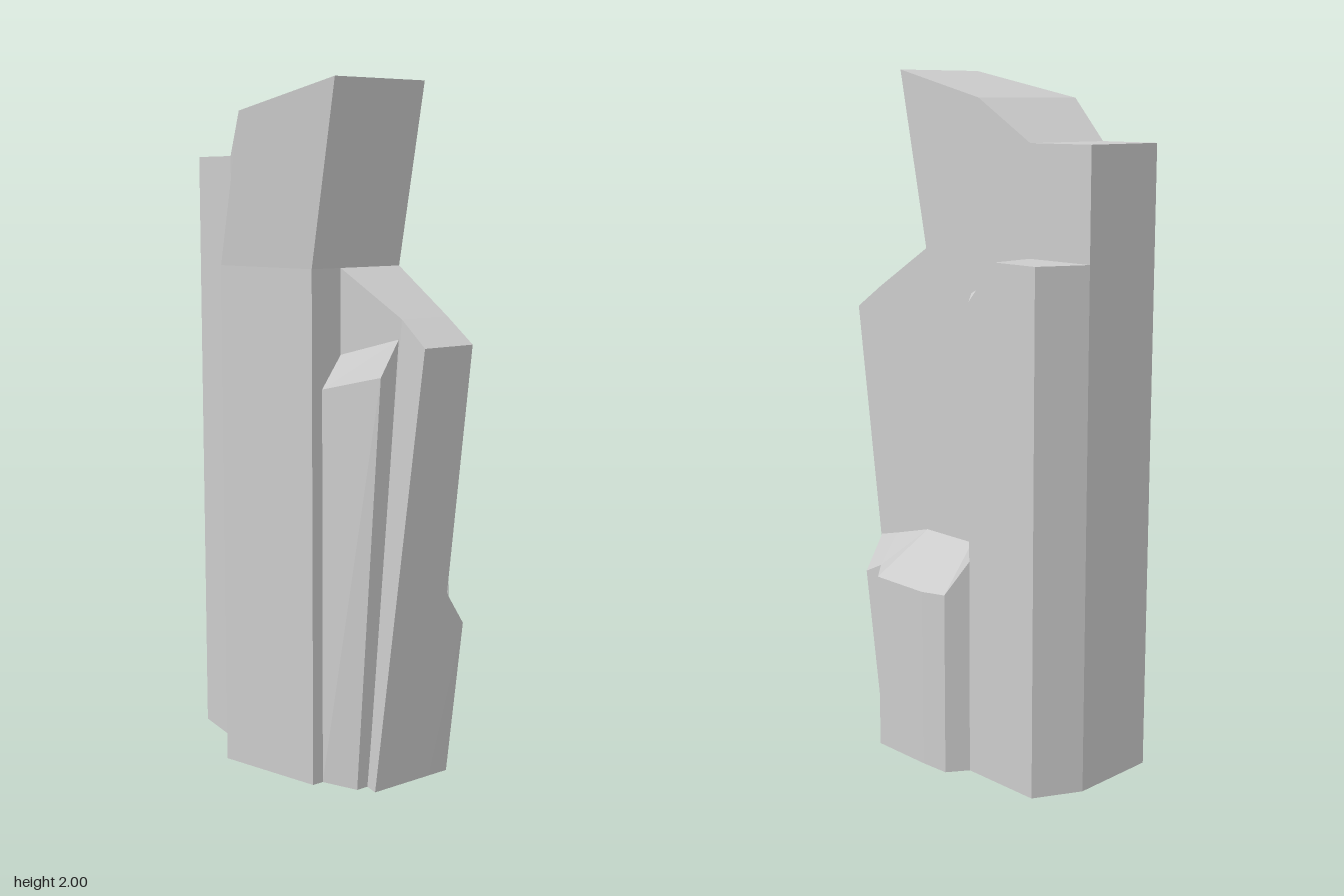
import * as THREE from 'three';

const material = new THREE.MeshStandardMaterial({ color: 0xcccccc, flatShading: true });

// Lofts a faceted shard. Each level, from the ground up, is a list of
// stations running left to right; a station is [frontPoint, backPoint].
function shard(name, levels) {
  const positions = [];
  const tri = (...points) => {
    const [a, b, c] = points.map((p) => new THREE.Vector3(...p));
    if (new THREE.Triangle(a, b, c).getArea() < 1e-7) return;
    for (const p of points) positions.push(...p);
  };
  const quad = (a, b, c, d) => {
    tri(a, b, c);
    tri(a, c, d);
  };

  // Walls between neighbouring levels
  const rings = levels.map((s) => [...s.map((p) => p[0]), ...s.map((p) => p[1]).reverse()]);
  for (let l = 0; l < rings.length - 1; l++) {
    const low = rings[l], high = rings[l + 1];
    low.forEach((p, i) => {
      const j = (i + 1) % low.length;
      quad(p, low[j], high[j], high[i]);
    });
  }
  // Caps, one facet per pair of stations
  const top = levels[levels.length - 1], base = levels[0];
  for (let i = 0; i < top.length - 1; i++) {
    quad(top[i][0], top[i + 1][0], top[i + 1][1], top[i][1]);
    quad(base[i][1], base[i + 1][1], base[i + 1][0], base[i][0]);
  }

  const geometry = new THREE.BufferGeometry();
  geometry.setAttribute('position', new THREE.Float32BufferAttribute(positions, 3));
  geometry.computeVertexNormals();
  const mesh = new THREE.Mesh(geometry, material);
  mesh.name = name;
  return mesh;
}

// Station with front and back at the same x and y
const st = (x, y, front, back = -0.1) => [[x, y, front], [x, y, back]];

// Straight drop of a level to a given height
const drop = (level, y = 0) => level.map((s) => s.map((p) => [p[0], y, p[2]]));

export function createModel() {
  const group = new THREE.Group();
  group.name = 'rockFormation';

  // Flat-topped pillar on the right-hand side
  const pillarTop = [st(-0.48, 1.8, 0.165), st(-0.26, 1.8, 0.195)];
  group.add(shard('sidePillar', [drop(pillarTop), pillarTop]));

  // Main column, upright below and leaning above
  const waist = [st(-0.26, 1.49, 0.195), st(-0.16, 1.49, 0.297), st(0.16, 1.49, 0.21)];
  const peak = [st(-0.26, 1.8, 0.195), st(-0.06, 1.92, 0.297), st(0.265, 2, 0.21)];
  group.add(shard('mainColumn', [drop(waist), waist, peak]));

  // Wing that widens upward to a sloping shoulder
  group.add(shard('wing', [
    [st(0.16, 0, 0.11), st(0.25, 0, 0.09), st(0.31, 0, 0.1)],
    [st(0.16, 1.49, 0.11), st(0.37, 1.36, 0.063), st(0.475, 1.29, 0.07)],
  ]));

  // Thin splinter against the front of the wing
  group.add(shard('frontSplinter', [
    [st(0.16, 0, 0.175, 0.1), st(0.265, 0, 0.13, 0.08)],
    [
      [[0.16, 1.155, 0.175], [0.16, 1.255, 0.105]],
      [[0.36, 1.205, 0.127], [0.36, 1.305, 0.065]],
    ],
  ]));

  // Tall rear buttress
  const buttressTop = [
    [[-0.48, 1.49, -0.1], [-0.41, 1.49, -0.235]],
    [[-0.26, 1.49, -0.1], [-0.26, 1.49, -0.235]],
    [[-0.03, 1.375, -0.1], [-0.16, 1.375, -0.235]],
  ];
  group.add(shard('rearButtress', [drop(buttressTop), buttressTop]));

  // Low rear boulder, its outer end following the wing's taper
  const boulderTop = [
    [[-0.03, 0.635, -0.1], [-0.16, 0.635, -0.235]],
    [[-0.03, 0.635, -0.1], [-0.12, 0.54, -0.295]],
    [[-0.03, 0.635, -0.1], [-0.03, 0.53, -0.3]],
    [[0.165, 0.635, -0.1], [0.165, 0.53, -0.3]],
    [[0.305, 0.595, -0.1], [0.305, 0.505, -0.17]],
    [[0.38, 0.575, -0.1], [0.375, 0.47, -0.17]],
  ];
  const boulderBase = drop(boulderTop);
  [[4, 0.265], [5, 0.31]].forEach(([i, x]) => boulderBase[i].forEach((p) => { p[0] = x; }));
  group.add(shard('rearBoulder', [boulderBase, boulderTop]));

  return group;
}
